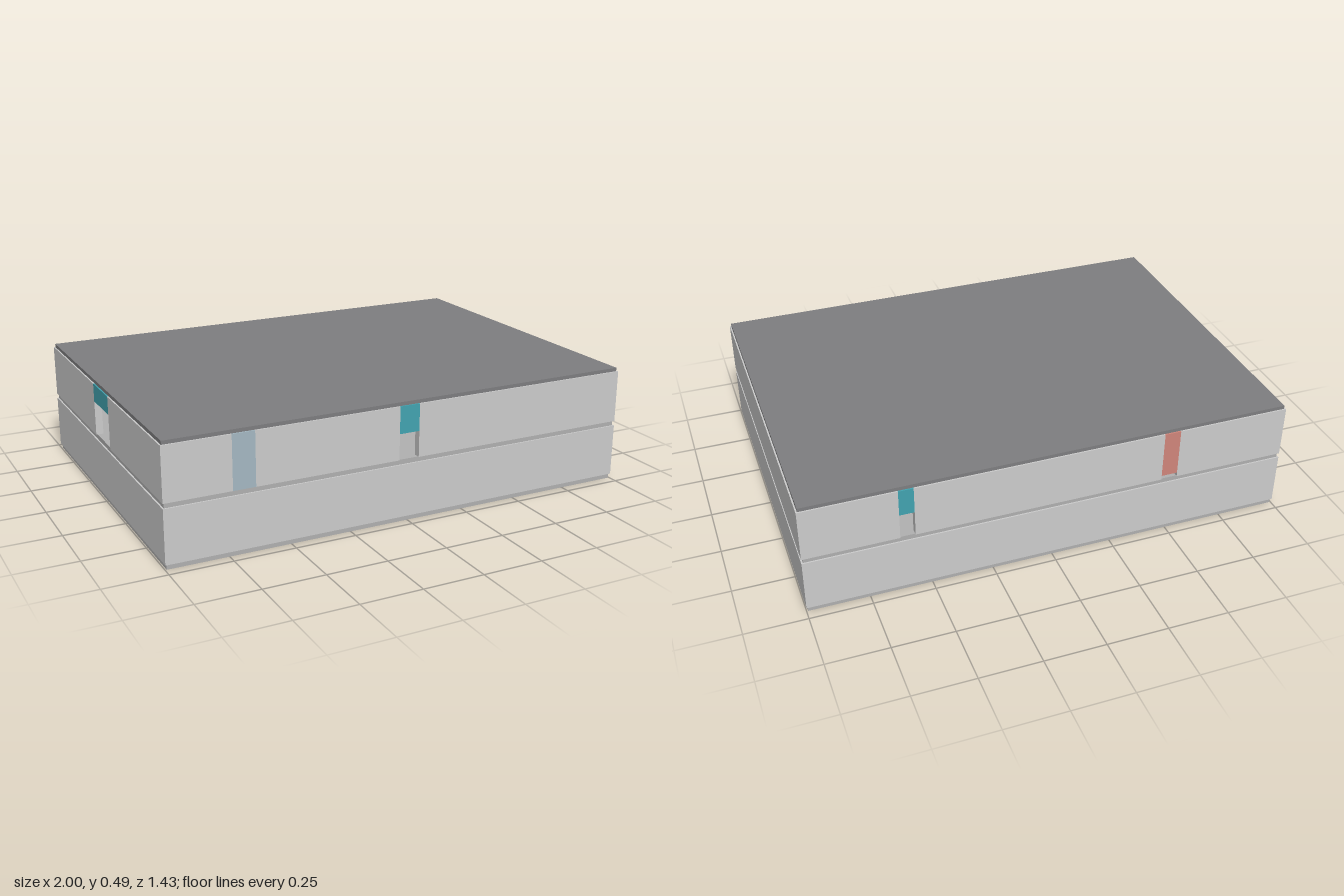
import * as THREE from 'three';

const X = 1, Z = 0.714;      // outer half sizes
const T = 0.03;              // wall thickness
const SLAB = 0.02, WALL = 0.218, INSET = 0.006;
const LEVEL = SLAB + WALL;   // storey height

const mat = (color) => new THREE.MeshStandardMaterial({ color });
const wallMat = mat(0xcccccc), slabMat = mat(0xb0b0b0), roofMat = mat(0x7e7e80);
const teal = mat(0x42a3b0), blue = mat(0xa4b8c2), red = mat(0xd0857a);

function box(parent, name, material, x0, x1, y0, y1, z0, z1) {
  const mesh = new THREE.Mesh(new THREE.BoxGeometry(x1 - x0, y1 - y0, z1 - z0), material);
  mesh.position.set((x0 + x1) / 2, (y0 + y1) / 2, (z0 + z1) / 2);
  mesh.name = name;
  parent.add(mesh);
}

// A straight wall along x or z, split around full-height bays.
// Each bay is a coloured panel that starts `gap` above the floor.
function wall(parent, name, axis, from, to, near, y, bays = []) {
  const group = new THREE.Group();
  group.name = name;
  const piece = (label, material, a, b, y0, y1) => axis === 'x'
    ? box(group, label, material, a, b, y0, y1, near, near + T)
    : box(group, label, material, near, near + T, y0, y1, a, b);
  let start = from;
  for (const bay of bays) {
    piece('wallSection', wallMat, start, bay.a, y, y + WALL);
    piece(bay.name, bay.material, bay.a, bay.b, y + bay.gap, y + WALL);
    start = bay.b;
  }
  piece('wallSection', wallMat, start, to, y, y + WALL);
  parent.add(group);
}

export function createModel() {
  const model = new THREE.Group();
  model.name = 'building';

  // Bays of the upper storey, in ascending order along each wall
  const upper = {
    front: [
      { name: 'bluePanel', material: blue, a: -0.733, b: -0.642, gap: 0 },
      { name: 'doorLintel', material: teal, a: -0.043, b: 0.043, gap: 0.107 },
    ],
    back: [
      { name: 'redPanel', material: red, a: -0.53, b: -0.462, gap: 0.018 },
      { name: 'doorLintel', material: teal, a: 0.562, b: 0.622, gap: 0.107 },
    ],
    right: [{ name: 'wideDoorLintel', material: teal, a: -0.096, b: 0.096, gap: 0.143 }],
  };

  // Two storeys: a recessed floor slab with four walls on it
  [{}, upper].forEach((bays, i) => {
    const storey = new THREE.Group();
    storey.name = i ? 'upperStorey' : 'lowerStorey';
    const y0 = i * LEVEL, y = y0 + SLAB;
    box(storey, 'floorSlab', slabMat, -X + INSET, X - INSET, y0, y, -Z + INSET, Z - INSET);
    wall(storey, 'frontWall', 'x', -X, X, Z - T, y, bays.front);
    wall(storey, 'backWall', 'x', -X, X, -Z, y, bays.back);
    wall(storey, 'rightWall', 'z', -Z + T, Z - T, -X, y, bays.right);
    wall(storey, 'leftWall', 'z', -Z + T, Z - T, X - T, y);
    model.add(storey);
  });

  // Flat roof
  box(model, 'roof', roofMat, -X + INSET, X - INSET, 2 * LEVEL, 2 * LEVEL + 0.015, -Z + INSET, Z - INSET);
  return model;
}
